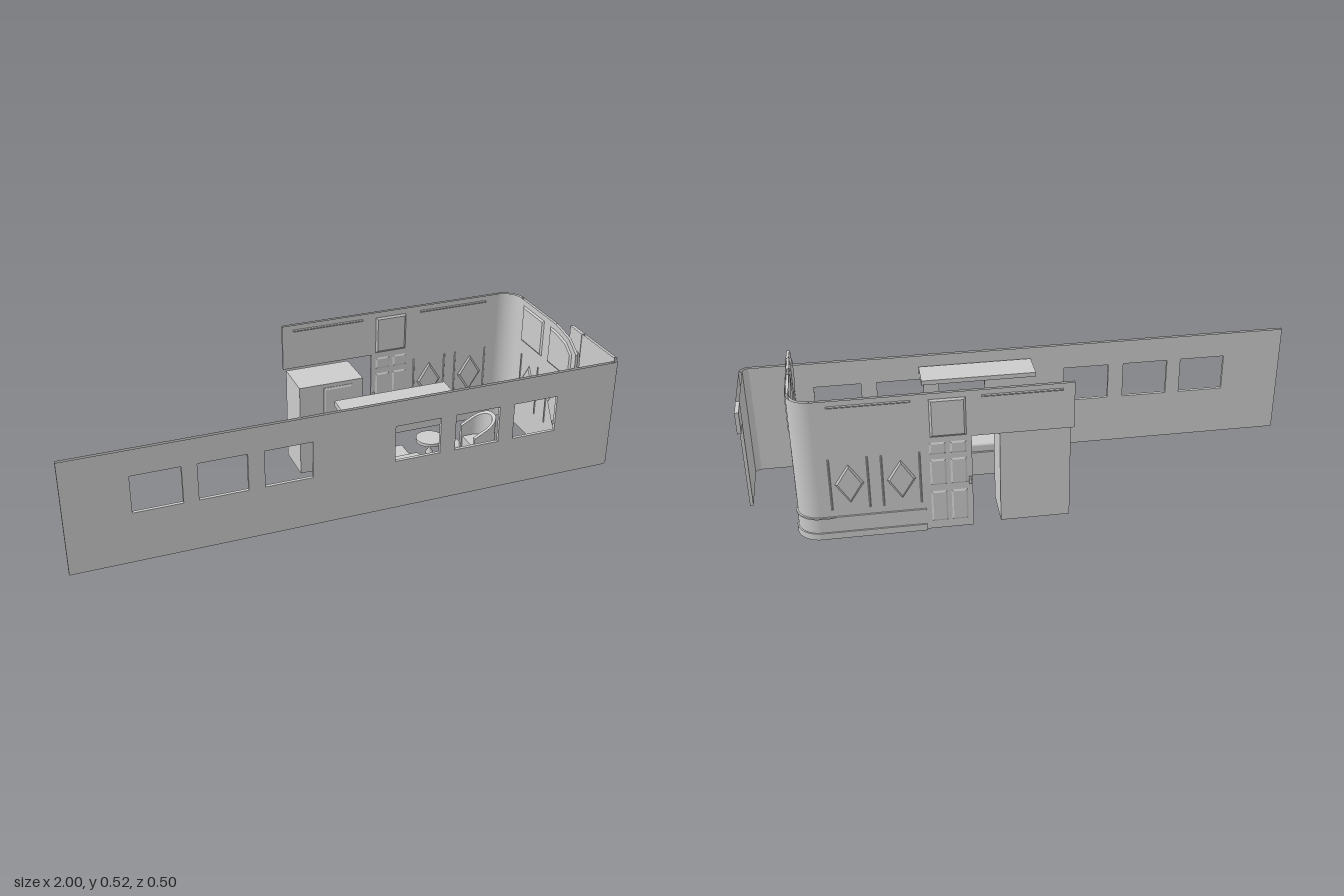
import * as THREE from 'three';
import { RoundedBoxGeometry } from 'three/addons/geometries/RoundedBoxGeometry.js';

const grey = new THREE.MeshStandardMaterial({ color: 0xcccccc, side: THREE.DoubleSide });

function add(parent, name, geo, x = 0, y = 0, z = 0) {
  const m = new THREE.Mesh(geo, grey);
  m.name = name;
  m.position.set(x, y, z);
  parent.add(m);
  return m;
}
const group = (parent, name) => {
  const g = new THREE.Group();
  g.name = name;
  parent.add(g);
  return g;
};
const V = (pts) => pts.map(([x, y]) => new THREE.Vector2(x, y));
const rect = (x0, y0, x1, y1) => [[x0, y0], [x1, y0], [x1, y1], [x0, y1]];
const box = (parent, name, x0, x1, y0, y1, z0, z1) => add(parent, name,
  new THREE.BoxGeometry(x1 - x0, y1 - y0, z1 - z0), (x0 + x1) / 2, (y0 + y1) / 2, (z0 + z1) / 2);

function extrude(pts, depth, holes = []) {
  const s = new THREE.Shape(V(pts));
  s.holes = holes.map((h) => new THREE.Path(V(h)));
  return new THREE.ExtrudeGeometry(s, { depth, bevelEnabled: false });
}

// Wall sheet with holes; its top and floor edges are left open
function wallGeo(pts, depth, holes) {
  const p = extrude(pts, depth, holes).attributes.position;
  const ys = pts.map((q) => q[1]);
  const ends = [Math.max(...ys), Math.min(...ys)];
  const out = [];
  for (let i = 0; i < p.count; i += 3) {
    const flat = ends.some((e) => [0, 1, 2].every((k) => Math.abs(p.getY(i + k) - e) < 1e-5));
    if (flat) continue;
    for (let k = 0; k < 3; k++) out.push(p.getX(i + k), p.getY(i + k), p.getZ(i + k));
  }
  const g = new THREE.BufferGeometry();
  g.setAttribute('position', new THREE.Float32BufferAttribute(out, 3));
  g.computeVertexNormals();
  return g;
}

// Panel with sloped border, raised on both sides of a wall of the given thickness
const panelGeo = (pts, inset, thick, rise = 0.005) => new THREE.ExtrudeGeometry(
  new THREE.Shape(V(pts)), { depth: thick, bevelSize: inset, bevelOffset: -inset, bevelThickness: rise, bevelSegments: 1 });

// Diamond flanked by two thin upright strips
function diamondSet(parent, cx, thick) {
  add(parent, 'diamondPanel', panelGeo([[cx, 0.137], [cx + 0.048, 0.211], [cx, 0.285], [cx - 0.048, 0.211]], 0.007, thick));
  for (const s of [-1, 1]) {
    const x = cx + s * 0.063;
    add(parent, 'uprightMoulding', panelGeo(rect(x - 0.003, 0.112, x + 0.003, 0.31), 0.002, thick, 0.003));
  }
}

// Quarter of an open cylinder standing on y0
const quarter = (parent, name, r, y0, y1, start, x, z) => add(parent, name,
  new THREE.CylinderGeometry(r, r, y1 - y0, 16, 1, true, start, Math.PI / 2), x, (y0 + y1) / 2, z);

function outerShell(root) {
  const g = group(root, 'outerShell');
  const wins = [-0.78, -0.56, -0.335, 0.13, 0.355, 0.58].map((x) => rect(x, 0.188, x + 0.168, 0.325));
  add(g, 'windowWall', wallGeo(rect(-1, 0, 0.965, 0.42), 0.012, wins), 0, 0, 0.238);
  quarter(g, 'outerCorner', 0.035, 0, 0.42, 0, 0.965, 0.215);
  quarter(g, 'innerCorner', 0.023, 0, 0.42, 0, 0.965, 0.215);
  add(g, 'endWall', wallGeo(rect(-0.215, 0, 0, 0.42), 0.012), 0.988, 0, 0).rotation.y = Math.PI / 2;
  // Lintel reaching over the doorway, filleted where it meets the wall
  const lintel = [[0, 0.42], [0, 0.325], [0.004, 0.334], [0.013, 0.34], [0.081, 0.34], [0.081, 0.42]];
  add(g, 'doorLintel', extrude(lintel, 0.014), 0.986, 0, 0).rotation.y = Math.PI / 2;
}

function innerPartition(root) {
  const g = group(root, 'backPartition');
  const T = 0.01;
  g.position.z = -0.243;
  add(g, 'backWall', wallGeo([[-0.11, 0.355], [0.395, 0.355], [0.395, 0], [0.75, 0], [0.75, 0.525], [-0.11, 0.525]], T));
  add(g, 'upperPanel', panelGeo(rect(0.252, 0.362, 0.372, 0.503), 0.007, T));
  for (const [a, b] of [[-0.07, 0.2], [0.43, 0.7]])
    add(g, 'longMoulding', panelGeo(rect(a, 0.498, b, 0.506), 0.003, T, 0.003));
  for (const x of [0.473, 0.645]) diamondSet(g, x, T);

  // Skirting along the outside and round the corner
  box(g, 'skirting', 0.395, 0.75, 0, 0.025, -0.007, 0);
  box(g, 'wainscot', 0.395, 0.75, 0.025, 0.082, -0.002, 0);
  box(g, 'wainscotRail', 0.395, 0.75, 0.081, 0.086, -0.006, 0);
  const c = group(root, 'roundedCorner');
  c.position.set(0.75, 0, -0.168);
  for (const [n, r, a, b] of [['cornerOutside', 0.075, 0, 0.525], ['cornerInside', 0.065, 0, 0.525],
    ['cornerSkirting', 0.082, 0, 0.025], ['cornerWainscot', 0.077, 0.025, 0.082], ['cornerRail', 0.081, 0.081, 0.086]])
    quarter(c, n, r, a, b, Math.PI / 2, 0, 0);
  for (const [y, r] of [[0.025, 0.082], [0.086, 0.081]]) {
    const ring = new THREE.RingGeometry(0.075, r, 16, 1, 0, Math.PI / 2);
    add(c, 'cornerLedge', ring, 0, y, 0).rotation.x = -Math.PI / 2;
  }

  // End partition, drawn with its length along -z
  const e = group(root, 'endPartition');
  e.position.x = 0.815;
  e.rotation.y = Math.PI / 2;
  add(e, 'partitionWall', wallGeo([[-0.235, 0], [0.168, 0], [0.168, 0.525], [-0.085, 0.525], [-0.18, 0.507], [-0.235, 0.468]], T));
  add(e, 'squarePanel', panelGeo(rect(-0.009, 0.362, 0.145, 0.503), 0.007, T));
  add(e, 'chamferedPanel', panelGeo([[-0.209, 0.362], [-0.054, 0.362], [-0.054, 0.501], [-0.1, 0.501], [-0.168, 0.488], [-0.209, 0.458]], 0.007, T));
  for (const x of [0.069, -0.13]) diamondSet(e, x, T);
}

function innerDoor(root) {
  const g = group(root, 'innerDoor');
  g.position.z = -0.241;
  add(g, 'doorLeaf', extrude(rect(0.235, 0, 0.395, 0.355), 0.008));
  for (const x of [0.253, 0.322])
    for (const [a, b] of [[0.03, 0.15], [0.175, 0.275], [0.295, 0.34]])
      add(g, 'doorPanel', panelGeo(rect(x, a, x + 0.055, b), 0.006, 0.008, 0.003));
  for (const z of [-0.006, 0.014]) {
    box(g, 'handlePlate', 0.24, 0.248, 0.17, 0.2, z - 0.002, z + 0.002);
    add(g, 'doorKnob', new THREE.SphereGeometry(0.004, 10, 8), 0.244, 0.188, z);
  }
}

function cabinet(root) {
  const g = group(root, 'cabinet');
  box(g, 'cabinetBody', -0.1, 0.14, 0, 0.35, -0.23, -0.08);
  for (const [a, b] of [[0.03, 0.17], [0.19, 0.335]])
    add(g, 'cabinetPanel', panelGeo(rect(-0.01, a, 0.1, b), 0.007, 0.002, 0.003), 0, 0, -0.08);
}

function berths(root) {
  // Upper berth: thin shelf rising away from the wall
  const u = group(root, 'upperBerth');
  add(u, 'berthShelf', extrude([[-0.23, 0.345], [-0.11, 0.368], [-0.11, 0.385], [-0.23, 0.38]], 0.41), -0.04, 0, 0).rotation.y = Math.PI / 2;

  // Lower couch: hollow base, cushion, arm and pillow
  const s = group(root, 'couch');
  box(s, 'frontBoard', -0.1, 0.24, 0.005, 0.095, 0.062, 0.07);
  box(s, 'seatBase', -0.1, 0.24, 0.09, 0.1, 0.062, 0.23);
  box(s, 'sideBoard', 0.232, 0.24, 0.005, 0.095, 0.062, 0.23);
  add(s, 'seatCushion', new RoundedBoxGeometry(0.33, 0.035, 0.165, 2, 0.008), 0.073, 0.117, 0.146);
  add(s, 'backCushion', new RoundedBoxGeometry(0.33, 0.06, 0.03, 2, 0.01), 0.073, 0.15, 0.215);
  box(s, 'armPanel', -0.1, -0.09, 0.09, 0.17, 0.062, 0.23);
  const roll = add(s, 'armRoll', new THREE.CylinderGeometry(0.012, 0.012, 0.168, 14), -0.088, 0.17, 0.146);
  roll.rotation.x = Math.PI / 2;
  const pillow = add(s, 'pillow', new RoundedBoxGeometry(0.06, 0.022, 0.12, 3, 0.01), -0.055, 0.15, 0.135);
  pillow.rotation.z = -0.5;
}

function ballFeet(parent, spots, r) {
  for (const [x, z] of spots) add(parent, 'ballFoot', new THREE.SphereGeometry(r, 12, 8), x, r, z);
}

function seating(root) {
  // Round table on a turned pedestal
  const t = group(root, 'roundTable');
  t.position.set(0.362, 0, 0.033);
  const profile = [[0, 0], [0.03, 0], [0.03, 0.006], [0.018, 0.016], [0.007, 0.024], [0.006, 0.04],
    [0.013, 0.055], [0.013, 0.063], [0.005, 0.075], [0.006, 0.095], [0.018, 0.108]];
  add(t, 'pedestal', new THREE.LatheGeometry(V(profile), 20));
  add(t, 'tableTop', new THREE.CylinderGeometry(0.051, 0.051, 0.012, 32), 0, 0.114, 0);

  // Tub chair, open towards -x
  const c = group(root, 'tubChair');
  c.position.set(0.53, 0, 0.09);
  const arc = (r, from, to) => Array.from({ length: 17 }, (_, i) => {
    const a = from + (to - from) * i / 16;
    return [r * Math.cos(a), r * Math.sin(a)];
  });
  const H = Math.PI / 2;
  const seat = [[-0.04, -0.047], ...arc(0.047, -H, H), [-0.04, 0.047]];
  const shell = [[-0.045, -0.06], ...arc(0.06, -H, H), [-0.045, 0.06], [-0.045, 0.047], ...arc(0.047, H, -H), [-0.045, -0.047]];
  const back = extrude(shell, 0.175).rotateX(-H);
  // The rim dips from the back to the arms
  const p = back.attributes.position;
  for (let i = 0; i < p.count; i++)
    if (p.getY(i) > 0.1) p.setY(i, p.getY(i) - 0.055 * Math.min(1, Math.max(0, (0.055 - p.getX(i)) / 0.1)));
  back.computeVertexNormals();
  add(c, 'chairBack', back, 0, 0.03, 0);
  add(c, 'chairSeat', extrude(seat, 0.075).rotateX(-H), 0, 0.03, 0);
  ballFeet(c, [[-0.03, -0.042], [-0.03, 0.042], [0.03, -0.035], [0.03, 0.035]], 0.015);

  // Small square footstool
  const f = group(root, 'footstool');
  f.position.set(0.468, 0, 0.005);
  add(f, 'footstoolCushion', new RoundedBoxGeometry(0.065, 0.04, 0.062, 2, 0.008), 0, 0.042, 0);
  ballFeet(f, [[-0.022, -0.021], [-0.022, 0.021], [0.022, -0.021], [0.022, 0.021]], 0.012);
}

export function createModel() {
  const root = new THREE.Group();
  root.name = 'railCarInterior';
  outerShell(root);
  innerPartition(root);
  innerDoor(root);
  cabinet(root);
  berths(root);
  seating(root);
  return root;
}
